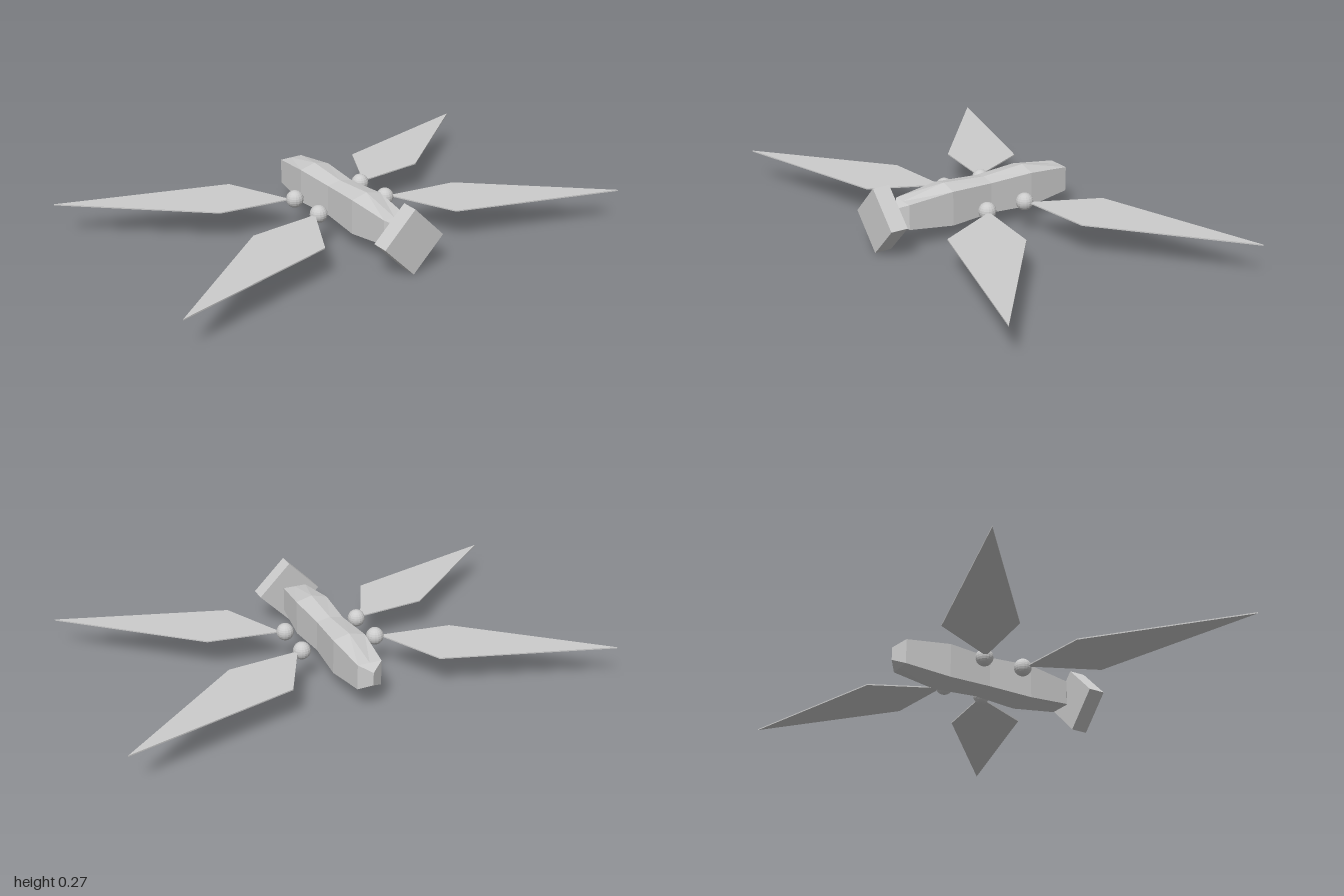
import * as THREE from 'three';

const MID = 0.137; // height of the wing plane and body axis
const material = new THREE.MeshStandardMaterial({ color: 0xcccccc, flatShading: true, side: THREE.DoubleSide });

function addMesh(parent, name, geometry, x = 0, y = 0, z = 0) {
  const mesh = new THREE.Mesh(geometry, material);
  mesh.name = name;
  mesh.position.set(x, y, z);
  parent.add(mesh);
  return mesh;
}

// Six-sided sections with a shallow ridge: [z, half width, corner height, ridge height]
function bodyGeometry() {
  const half = [[0.19, 0.068, 0.072, 0.09], [0.38, 0.05, 0.052, 0.052], [0.417, 0, 0.027, 0.027]];
  const stations = [
    ...half.map(([z, ...rest]) => [-z, ...rest]).reverse(),
    [0, 0.057, 0.064, 0.076],
    ...half,
  ];
  const rings = stations.map(([z, w, c, r]) =>
    [[0, r], [w, c], [w, -c], [0, -r], [-w, -c], [-w, c]].map(([x, y]) => new THREE.Vector3(x, y, z)));
  const points = [];
  const triangle = (a, b, c) => {
    if (new THREE.Triangle(a, b, c).getArea() > 1e-7) points.push(a, b, c);
  };
  for (let i = 0; i < rings.length - 1; i++) {
    for (let j = 0; j < 6; j++) {
      const k = (j + 1) % 6;
      const [a, b, c, d] = [rings[i][j], rings[i][k], rings[i + 1][j], rings[i + 1][k]];
      triangle(a, c, b);
      triangle(b, c, d);
    }
  }
  const geometry = new THREE.BufferGeometry().setFromPoints(points);
  geometry.computeVertexNormals();
  return geometry;
}

// Thin four-cornered blade for one quadrant
function wingGeometry(sx, sz) {
  const outline = [[0.18, 0.095], [0.48, 0.13], [1, 0.572], [0.31, 0.37]];
  const shape = new THREE.Shape(outline.map(([x, z]) => new THREE.Vector2(sx * x, -sz * z)));
  const geometry = new THREE.ExtrudeGeometry(shape, { depth: 0.005, bevelEnabled: false });
  geometry.rotateX(-Math.PI / 2);
  geometry.translate(0, -0.0025, 0);
  return geometry;
}

export function createModel() {
  const model = new THREE.Group();
  model.name = 'fourWingedFlyer';

  addMesh(model, 'body', bodyGeometry(), 0, MID, 0);

  // Square head block turned onto its corner
  const head = addMesh(model, 'head', new THREE.BoxGeometry(0.191, 0.191, 0.071), 0, 0.1355, 0.474);
  head.rotation.z = Math.PI / 4;

  // Ball joint and blade in each quadrant
  for (const sx of [1, -1]) {
    for (const sz of [1, -1]) {
      const name = (sz > 0 ? 'front' : 'back') + (sx > 0 ? 'Left' : 'Right');
      addMesh(model, name + 'Joint', new THREE.SphereGeometry(0.036, 16, 12), sx * 0.16, MID, sz * 0.09);
      addMesh(model, name + 'Wing', wingGeometry(sx, sz), 0, MID, 0);
    }
  }
  return model;
}
